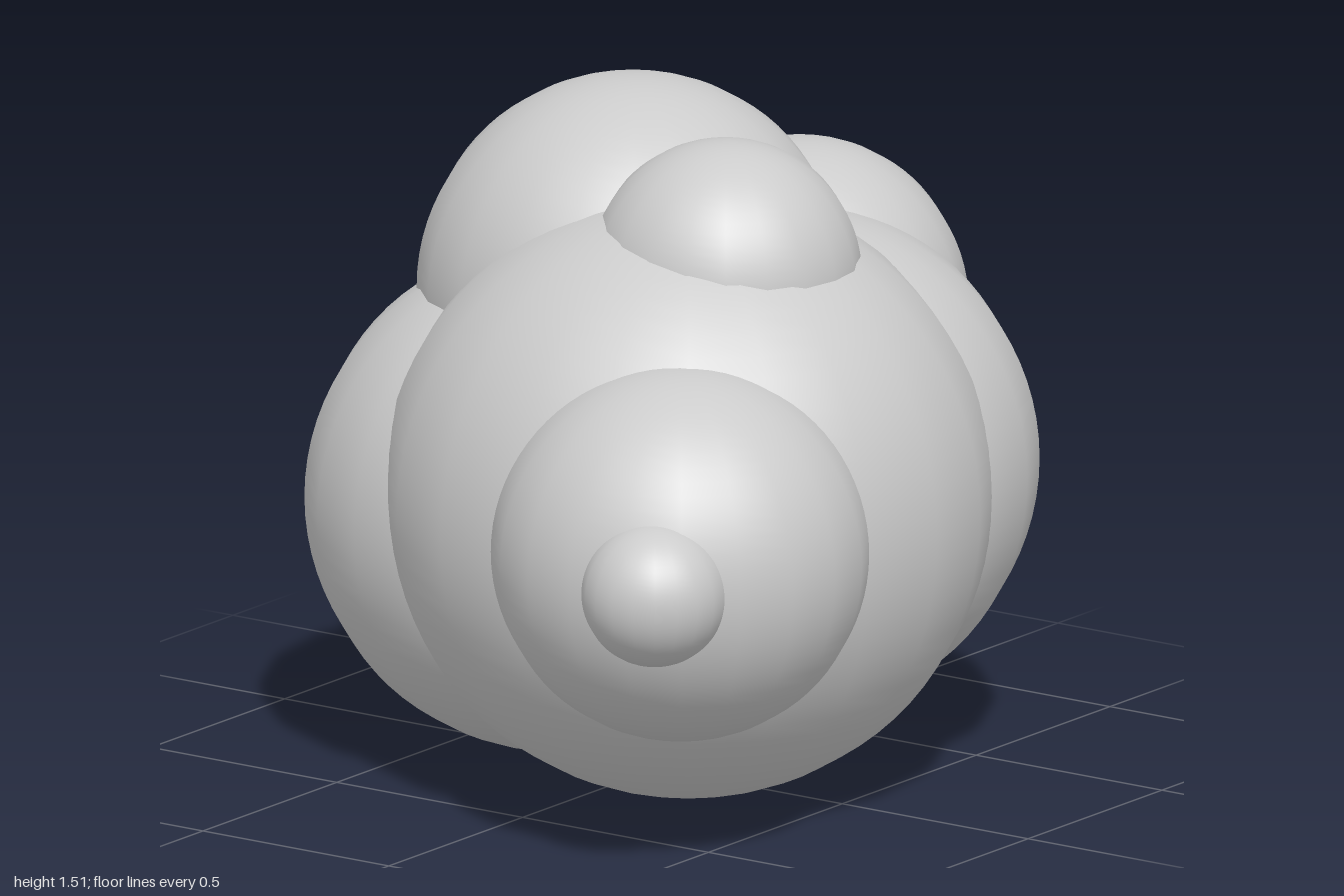
import * as THREE from 'three';

// Puffy cloud made of overlapping spheres: [name, x, y, z, radius]
const PUFFS = [
  ['mainPuff', -0.09, 0.67, 0.15, 0.67],
  ['rightTailPuff', -0.52, 0.675, 0.44, 0.415],
  ['rightTipPuff', -0.84, 0.675, 0.60, 0.16],
  ['frontLeftPuff', 0.26, 0.67, 0.15, 0.563],
  ['backLeftPuff', 0.37, 0.67, -0.30, 0.56],
  ['backPuff', -0.01, 0.58, -0.25, 0.56],
  ['crownPuff', 0.12, 1.043, -0.15, 0.472],
  ['frontTopPuff', -0.09, 1.18, 0.25, 0.298],
  ['leftUpperPuff', 0.52, 0.94, 0.01, 0.37],
  ['leftSidePuff', 0.70, 0.67, 0.02, 0.3],
  ['backLeftTipPuff', 0.71, 0.77, -0.57, 0.265],
];

export function createModel() {
  const group = new THREE.Group();
  group.name = 'cloud';
  const material = new THREE.MeshStandardMaterial({ color: 0xcccccc });
  for (const [name, x, y, z, radius] of PUFFS) {
    const puff = new THREE.Mesh(new THREE.SphereGeometry(radius, 20, 40), material);
    puff.name = name;
    puff.position.set(x, y, z);
    group.add(puff);
  }
  return group;
}
